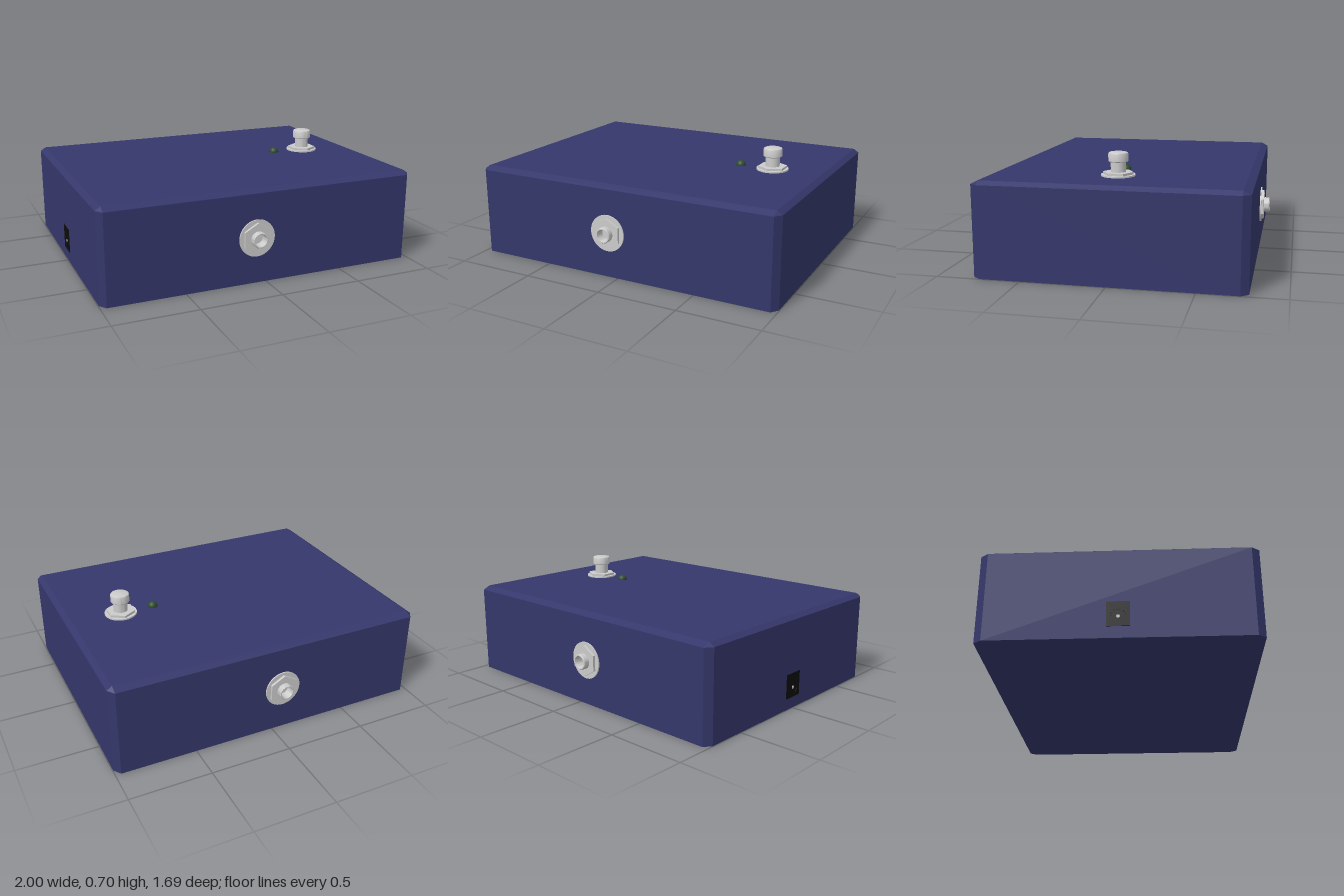
import * as THREE from 'three';
import { toCreasedNormals } from 'three/addons/utils/BufferGeometryUtils.js';
import { ConvexGeometry } from 'three/addons/geometries/ConvexGeometry.js';

const paint = (color) => new THREE.MeshStandardMaterial({ color });
const metal = paint(0xcccccc);
const blue = paint(0x35376b);
const black = paint(0x0c0c0c);
const green = paint(0x2f4a30);

function add(parent, name, geometry, material, x = 0, y = 0, z = 0) {
  const mesh = new THREE.Mesh(geometry, material);
  mesh.name = name;
  mesh.position.set(x, y, z);
  parent.add(mesh);
  return mesh;
}

// Turned part along +y from [radius, height] pairs, with sharp edges kept
function turned(profile) {
  const points = profile.map(([r, y]) => new THREE.Vector2(r, y));
  return toCreasedNormals(new THREE.LatheGeometry(points, 40), 0.5);
}

// Hexagonal nut along +y with a round hole, a corner facing z
function hexNut(radius, hole, height) {
  const corners = [];
  for (let i = 0; i < 6; i++) {
    const a = (i * Math.PI) / 3;
    corners.push(new THREE.Vector2(Math.sin(a) * radius, Math.cos(a) * radius));
  }
  const shape = new THREE.Shape(corners);
  shape.holes.push(new THREE.Path().absarc(0, 0, hole, 0, Math.PI * 2, true));
  const g = new THREE.ExtrudeGeometry(shape, { depth: height, bevelEnabled: false, curveSegments: 16 });
  return g.rotateX(-Math.PI / 2);
}

// Box with chamfered upright corners and chamfered top edges
function bodyGeometry(w, d, h, cx, cy, cz) {
  const points = [];
  for (const sx of [-1, 1]) {
    for (const sz of [-1, 1]) {
      for (const y of [0, h - cy]) {
        points.push(new THREE.Vector3(sx * w, y, sz * (d - cz)));
        points.push(new THREE.Vector3(sx * (w - cx), y, sz * d));
      }
      points.push(new THREE.Vector3(sx * (w - cx), h, sz * (d - cz)));
    }
  }
  return new ConvexGeometry(points);
}

// Audio socket: washer, nut and hollow threaded barrel
function createJack(name) {
  const jack = new THREE.Group();
  jack.name = name;
  add(jack, 'jackWasher', turned([[0.04, 0], [0.112, 0], [0.112, 0.008], [0.04, 0.008]]), metal);
  add(jack, 'jackNut', hexNut(0.096, 0.045, 0.015), metal, 0, 0.008);
  add(jack, 'jackBarrel', turned([
    [0.047, 0], [0.047, 0.054], [0.044, 0.058], [0.038, 0.058], [0.036, 0.054], [0.036, 0.002], [0, 0.002],
  ]), metal);
  return jack;
}

export function createModel() {
  const model = new THREE.Group();
  model.name = 'effectPedal';
  const W = 0.997, D = 0.785, H = 0.567;

  add(model, 'enclosure', bodyGeometry(W, D, H, 0.033, 0.022, 0.045), blue);

  // Sockets on the front and back walls
  for (const side of [1, -1]) {
    const jack = createJack(side > 0 ? 'frontJack' : 'backJack');
    jack.rotation.x = (side * Math.PI) / 2;
    jack.position.set(-0.063, 0.278, side * D);
    model.add(jack);
  }

  // Foot switch
  const footSwitch = new THREE.Group();
  footSwitch.name = 'footSwitch';
  footSwitch.position.set(0.655, H, 0.003);
  add(footSwitch, 'switchWasher', turned([[0.04, 0], [0.1, 0], [0.1, 0.009], [0.04, 0.009]]), metal);
  add(footSwitch, 'switchNut', hexNut(0.091, 0.042, 0.014), metal, 0, 0.009);
  add(footSwitch, 'switchShaft', turned([[0.044, 0], [0.044, 0.09]]), metal);
  add(footSwitch, 'switchButton', turned([
    [0, 0.083], [0.055, 0.083], [0.058, 0.087], [0.058, 0.129], [0.055, 0.135], [0.048, 0.138], [0, 0.138],
  ]), metal);
  model.add(footSwitch);

  // Indicator lamp
  add(model, 'indicatorLamp', new THREE.SphereGeometry(0.031, 24, 16), green, 0.443, 0.57, 0.003);

  // Power socket on the right wall: thin frame, backing and centre pin
  const power = new THREE.Group();
  power.name = 'powerSocket';
  power.position.set(-W, 0.145, -0.003);
  power.rotation.y = -Math.PI / 2;
  const frame = new THREE.Shape([[-0.065, -0.075], [0.065, -0.075], [0.065, 0.075], [-0.065, 0.075]]
    .map(([x, y]) => new THREE.Vector2(x, y)));
  frame.holes.push(new THREE.Path().absarc(0, -0.015, 0.042, 0, Math.PI * 2, true));
  add(power, 'socketFrame', new THREE.ExtrudeGeometry(frame, { depth: 0.003, bevelEnabled: false, curveSegments: 20 }), black);
  add(power, 'socketBacking', new THREE.CircleGeometry(0.044, 32), black, 0, -0.015, 0.001);
  const pin = add(power, 'socketPin', new THREE.CylinderGeometry(0.01, 0.01, 0.002, 16), metal, 0, -0.015, 0.002);
  pin.rotation.x = Math.PI / 2;
  model.add(power);

  return model;
}
